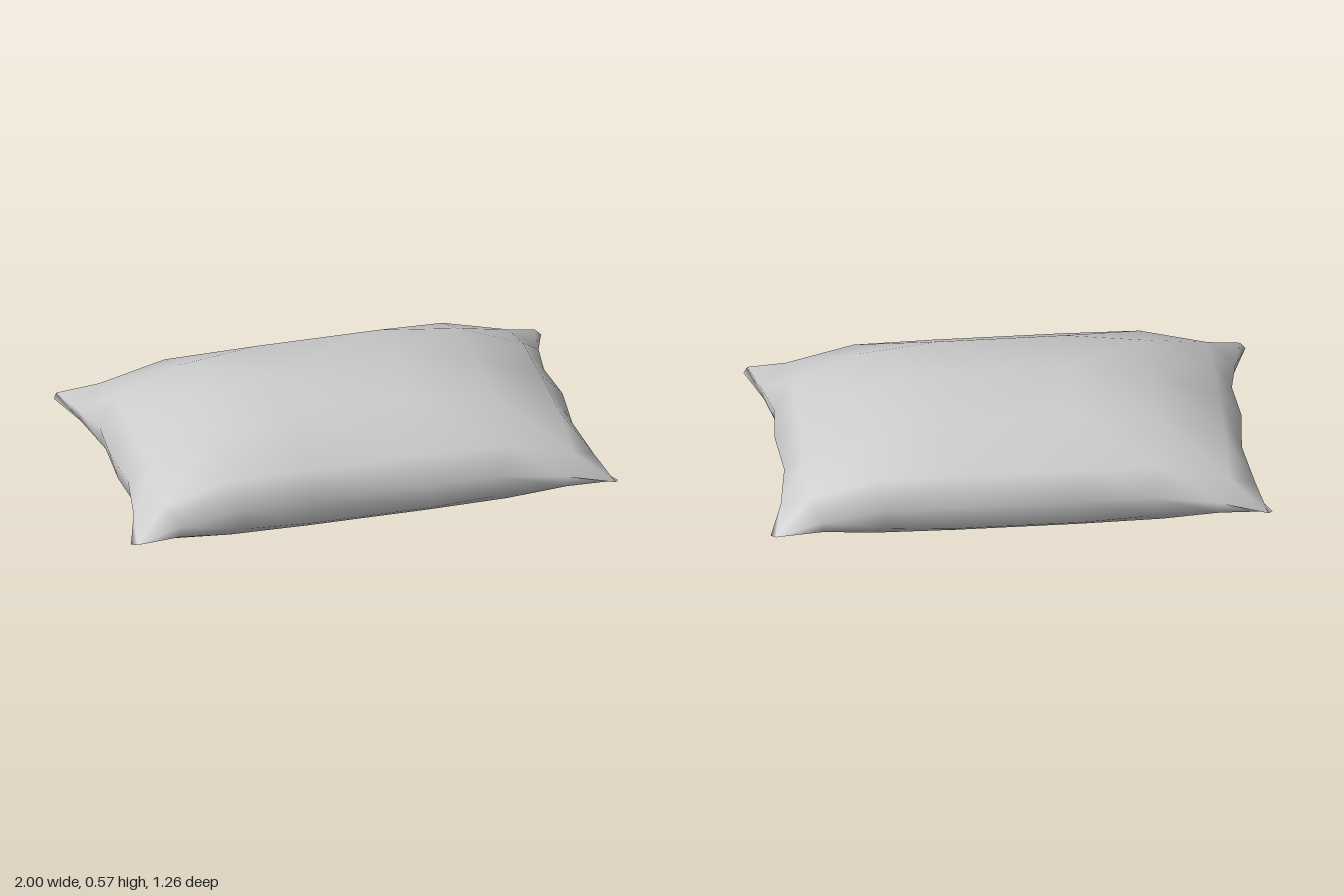
import * as THREE from 'three';

// One quadrant of the cushion, index 0 = centre, 3 = rim; mirrored to all four.
const COLS = [0.25, 0.57, 0.84];
const ROWS = [0, 0.28, 0.505];
const RIM_X = [0.24, 0.53, 0.79];        // points along the long edges
const RIM_Z = [0, 0.22, 0.43];           // points along the short edges
const LONG_EDGE = [0.578, 0.561, 0.577]; // z of the long edges
const SHORT_EDGE = [0.93, 0.912, 0.945]; // x of the short edges

// Heights by row, then column, for the upper and lower faces
const UPPER = {
  y: [[0.575, 0.525, 0.41], [0.545, 0.505, 0.4], [0.41, 0.405, 0.335]],
  rimY: [0.31, 0.3, 0.27],
  inset: [0, 0, 0],
  corner: [0.982, 0.245, 0.628],
};
const LOWER = {
  y: [[0, 0.055, 0.125], [0.035, 0.08, 0.14], [0.16, 0.165, 0.185]],
  rimY: [0.19, 0.2, 0.22],
  inset: [0.035, 0.025, 0.01],
  corner: [1, 0.236, 0.6],
};

function quadrantPoint(a, b, face) {
  if (a === 3 && b === 3) return face.corner;
  if (a === 3) return [SHORT_EDGE[b] - face.inset[b], face.rimY[b], RIM_Z[b]];
  if (b === 3) return [RIM_X[a], face.rimY[a], LONG_EDGE[a] - face.inset[a]];
  return [COLS[a], face.y[b][a], ROWS[b]];
}

function cushionGeometry() {
  const NX = 8, NZ = 7;
  const positions = [], indices = [];

  // Upper and lower grids
  for (const face of [UPPER, LOWER]) {
    for (let j = 0; j < NZ; j++) {
      for (let i = 0; i < NX; i++) {
        const a = i < 4 ? 3 - i : i - 4;
        const [x, y, z] = quadrantPoint(a, Math.abs(j - 3), face);
        positions.push(i < 4 ? -x : x, y, j < 3 ? -z : z);
      }
    }
  }
  const offset = NX * NZ;
  const at = (i, j) => j * NX + i;

  // Diagonals run towards the corners so the four quadrants match
  for (let j = 0; j < NZ - 1; j++) {
    for (let i = 0; i < NX - 1; i++) {
      const [p, q, r, s] = [at(i, j), at(i, j + 1), at(i + 1, j + 1), at(i + 1, j)];
      const tris = (i < 3) === (j < 3)
        ? [[p, q, r], [p, r, s]]
        : [[p, q, s], [q, r, s]];
      for (const [t, u, v] of tris) {
        indices.push(t, u, v, offset + t, offset + v, offset + u);
      }
    }
  }

  // Narrow side band joining both rims
  const rim = [];
  for (let j = 0; j < NZ - 1; j++) rim.push(at(0, j));
  for (let i = 0; i < NX - 1; i++) rim.push(at(i, NZ - 1));
  for (let j = NZ - 1; j > 0; j--) rim.push(at(NX - 1, j));
  for (let i = NX - 1; i > 0; i--) rim.push(at(i, 0));
  rim.forEach((p, k) => {
    const q = rim[(k + 1) % rim.length];
    indices.push(p, p + offset, q + offset, p, q + offset, q);
  });

  const geometry = new THREE.BufferGeometry();
  geometry.setAttribute('position', new THREE.Float32BufferAttribute(positions, 3));
  geometry.setIndex(indices);
  geometry.computeVertexNormals();
  return geometry;
}

export function createModel() {
  const group = new THREE.Group();
  group.name = 'pillow';
  const cushion = new THREE.Mesh(
    cushionGeometry(),
    new THREE.MeshStandardMaterial({ color: 0xcccccc })
  );
  cushion.name = 'cushion';
  group.add(cushion);
  return group;
}
